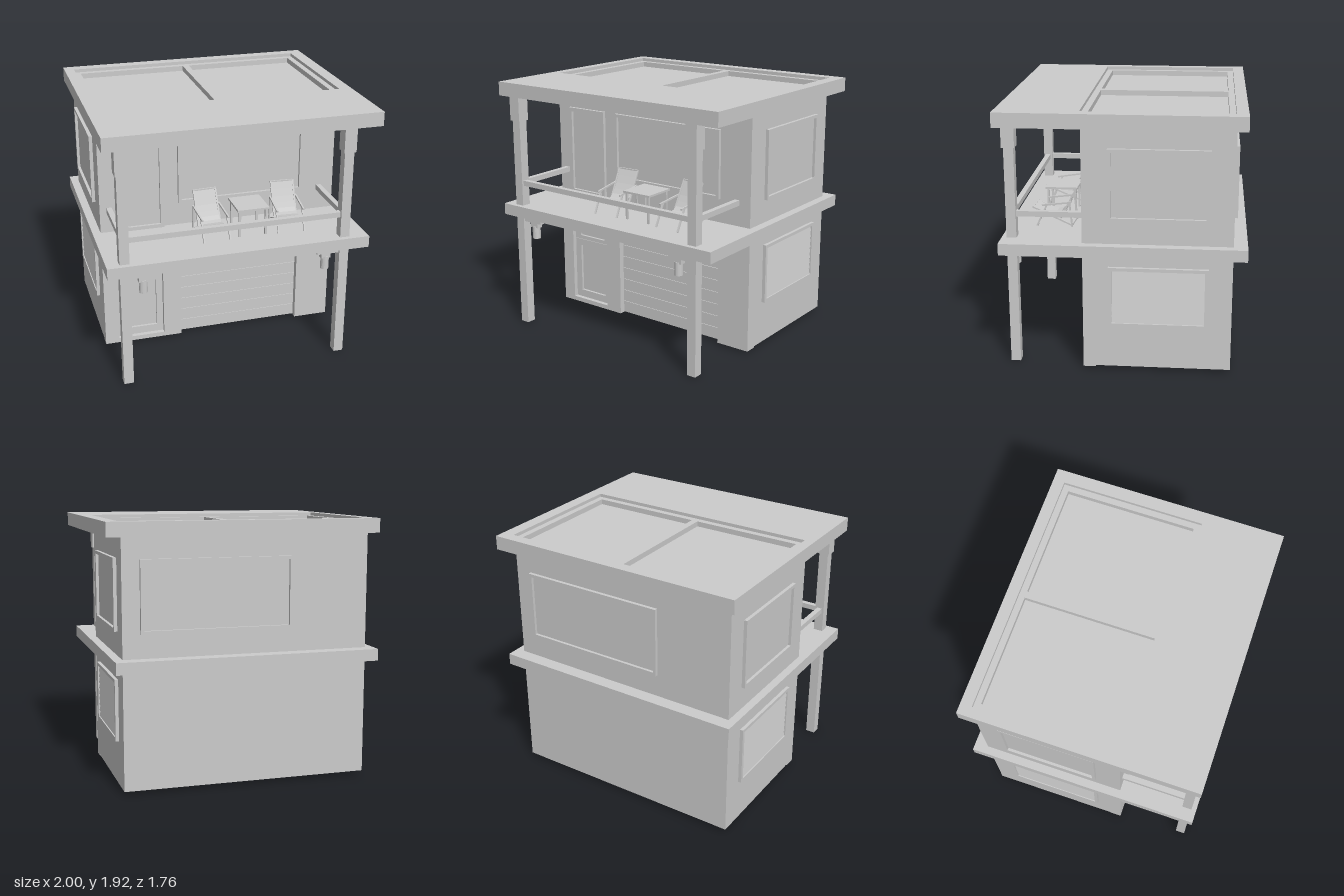
import * as THREE from 'three';

const mat = new THREE.MeshStandardMaterial({ color: 0xcccccc, flatShading: true });
const thin = new THREE.MeshStandardMaterial({ color: 0xcccccc, flatShading: true, side: THREE.DoubleSide });

function add(parent, name, geo, material = mat) {
  const m = new THREE.Mesh(geo, material);
  m.name = name;
  parent.add(m);
  return m;
}

// Box given by its minimum and maximum on each axis
function box(parent, name, x0, x1, y0, y1, z0, z1) {
  const m = add(parent, name, new THREE.BoxGeometry(x1 - x0, y1 - y0, z1 - z0));
  m.position.set((x0 + x1) / 2, (y0 + y1) / 2, (z0 + z1) / 2);
  return m;
}

// Square bar between two points
function bar(parent, name, a, b, w = 0.012) {
  const p = new THREE.Vector3(...a), q = new THREE.Vector3(...b);
  const m = add(parent, name, new THREE.BoxGeometry(w, w, p.distanceTo(q)));
  m.position.copy(p).add(q).multiplyScalar(0.5);
  m.lookAt(q);
  return m;
}

const rect = (C, x0, x1, y0, y1) => new C([[x0, y0], [x1, y0], [x1, y1], [x0, y1]]
  .map(([x, y]) => new THREE.Vector2(x, y)));

const extrude = (shape, depth) => new THREE.ExtrudeGeometry(shape, { depth, bevelEnabled: false });

// Rectangular border in the XY plane, extruded towards +z
function border(parent, name, x0, x1, y0, y1, w, depth) {
  const s = rect(THREE.Shape, x0, x1, y0, y1);
  s.holes.push(rect(THREE.Path, x0 + w, x1 - w, y0 + w, y1 - w));
  return add(parent, name, extrude(s, depth));
}

// Window whose back lies on local z = 0, with optional sloping louvres
function makeWindow(name, w, y0, y1, louvres = 0) {
  const g = new THREE.Group();
  g.name = name;
  border(g, 'windowFrame', -w / 2, w / 2, y0, y1, 0.024, 0.025);
  box(g, 'windowPane', -w / 2 + 0.02, w / 2 - 0.02, y0 + 0.02, y1 - 0.02, -0.004, 0.004);
  const step = (y1 - y0 - 0.05) / Math.max(louvres, 1);
  for (let i = 0; i < louvres; i++) {
    const slat = box(g, 'louvre', -w / 2 + 0.026, w / 2 - 0.026, 0, step * 0.98, 0.004, 0.01);
    slat.position.y = y0 + 0.025 + step * (i + 0.5);
    slat.position.z = 0.011;
    slat.rotation.x = -0.2;
  }
  return g;
}

function makeChair() {
  const g = new THREE.Group();
  g.name = 'deckChair';
  for (const s of [-1, 1]) {
    const x = 0.085 * s, xo = 0.1 * s;
    bar(g, 'backRail', [x, 0.3, -0.16], [x, 0.06, -0.035]);
    bar(g, 'seatRail', [x, 0.14, 0.175], [x, 0.01, -0.12]);
    bar(g, 'frontLeg', [xo, 0, 0.14], [xo, 0.17, 0.06]);
    bar(g, 'rearLeg', [xo, 0, -0.125], [xo, 0.19, -0.105]);
    bar(g, 'armRest', [xo, 0.19, -0.12], [xo, 0.16, 0.1]);
  }
  bar(g, 'topCrossbar', [-0.085, 0.295, -0.157], [0.085, 0.295, -0.157]);
  bar(g, 'frontCrossbar', [-0.085, 0.138, 0.17], [0.085, 0.138, 0.17]);
  bar(g, 'rearCrossbar', [-0.085, 0.01, -0.12], [0.085, 0.01, -0.12]);
  // Slung cloth: sagging profile swept across the width
  const curve = new THREE.CatmullRomCurve3([[0.145, 0.17], [0.1, 0.07], [0.095, -0.03], [0.17, -0.09], [0.3, -0.155]]
    .map(([y, z]) => new THREE.Vector3(0, y, z)));
  const cloth = new THREE.PlaneGeometry(0.16, 1, 1, 10);
  const pos = cloth.attributes.position;
  for (let i = 0; i < pos.count; i++) {
    const p = curve.getPoint(pos.getY(i) + 0.5);
    pos.setXYZ(i, pos.getX(i), p.y, p.z);
  }
  cloth.computeVertexNormals();
  add(g, 'seatCloth', cloth, thin);
  return g;
}

export function createModel() {
  const house = new THREE.Group();
  house.name = 'house';
  const L = -0.94, R = 0.885, B = -0.78;

  // Side and back walls: open shell without a floor
  const wall = (name, w, x, z, ry) => {
    const m = add(house, name, new THREE.PlaneGeometry(w, 1.8), thin);
    m.position.set(x, 0.925, z);
    m.rotation.y = ry;
  };
  wall('leftWall', 0.99, R, -0.285, Math.PI / 2);
  wall('rightWall', 0.99, L, -0.285, -Math.PI / 2);
  wall('backWall', R - L, (L + R) / 2, B, Math.PI);

  // Ground floor front with garage and door openings
  const front = new THREE.Shape([[L, 0.015], [-0.335, 0.015], [-0.335, 0.785], [0.615, 0.785], [0.615, 0.015],
    [R, 0.015], [R, 0.89], [L, 0.89]].map(([x, y]) => new THREE.Vector2(x, y)));
  front.holes.push(rect(THREE.Path, -0.835, -0.475, 0.05, 0.785));
  add(house, 'lowerFrontWall', extrude(front, 0.09)).position.z = 0.2;
  box(house, 'upperFrontWall', L, R, 0.96, 1.82, 0.2, 0.29);

  // Garage door panels
  for (let i = 0; i < 8; i++) {
    const y = 0.02 + i * 0.0956;
    box(house, 'garagePanel', -0.335, 0.615, y, y + 0.092, 0.21, 0.245);
  }
  box(house, 'garageBacking', -0.335, 0.615, 0.02, 0.785, 0.205, 0.238);

  // Entrance door with two sunk panels
  const door = rect(THREE.Shape, -0.835, -0.475, 0.05, 0.785);
  door.holes.push(rect(THREE.Path, -0.78, -0.525, 0.11, 0.505), rect(THREE.Path, -0.78, -0.525, 0.59, 0.76));
  add(house, 'entranceDoor', extrude(door, 0.03)).position.z = 0.225;
  box(house, 'doorPanels', -0.8, -0.5, 0.09, 0.775, 0.21, 0.235);
  box(house, 'doorRail', -0.835, -0.475, 0.55, 0.56, 0.24, 0.26);

  // Balcony door and windows
  border(house, 'balconyDoorFrame', -0.82, -0.46, 0.97, 1.665, 0.03, 0.027).position.z = 0.288;
  box(house, 'balconyDoorPane', -0.8, -0.48, 0.99, 1.645, 0.28, 0.294);
  const place = (win, x, z, ry) => {
    win.position.set(x, 0, z);
    win.rotation.y = ry;
    house.add(win);
  };
  place(makeWindow('frontWindow', 0.975, 1.15, 1.665), 0.138, 0.29, 0);
  place(makeWindow('backWindow', 1.115, 1.145, 1.665), 0.2, B, Math.PI);
  for (const [x, ry] of [[R, Math.PI / 2], [L, -Math.PI / 2]]) {
    place(makeWindow('sideWindow', 0.715, 1.145, 1.665), x, -0.253, ry);
    place(makeWindow('louvredWindow', 0.715, 0.35, 0.8, 9), x, -0.253, ry);
  }

  // Deck slab
  box(house, 'deck', -1, 0.95, 0.885, 0.972, -0.88, 0.88);

  // Roof slab with a stepped recess split by a divider
  const roof = rect(THREE.Shape, -1, 1, -0.88, 0.855);
  roof.holes.push(rect(THREE.Path, -0.925, 0.905, -0.29, 0.77));
  const slab = add(house, 'roof', extrude(roof, 0.105));
  slab.rotation.x = -Math.PI / 2;
  slab.position.y = 1.82;
  const ledge = border(house, 'roofLedge', -0.925, 0.905, -0.29, 0.77, 0.046, 0.08);
  ledge.rotation.x = -Math.PI / 2;
  ledge.position.y = 1.82;
  box(house, 'roofPanel', -0.9, 0.88, 1.82, 1.86, -0.75, 0.27);
  box(house, 'roofDivider', -0.045, 0.005, 1.85, 1.9, -0.725, 0.245);

  // Columns, side rails and hanging lamps
  for (const [x, s] of [[-0.87, 1], [0.77, -1]]) {
    box(house, 'column', x - 0.036, x + 0.036, 0, 1.82, 0.772, 0.844);
    box(house, 'columnCap', x - 0.046, x + 0.046, 1.635, 1.82, 0.763, 0.857);
    box(house, 'sideRail', x - 0.02, x + 0.02, 1.128, 1.168, 0.29, 0.78);
    const e = x + s * 0.036, f = x + s * 0.205, c = x + s * 0.135;
    box(house, 'lampBracket', Math.min(e, f), Math.max(e, f), 0.845, 0.886, 0.785, 0.832);
    box(house, 'lampStem', c - 0.036, c + 0.036, 0.81, 0.85, 0.785, 0.832);
    const lamp = add(house, 'lamp', new THREE.CylinderGeometry(0.031, 0.031, 0.1, 16));
    lamp.position.set(c, 0.772, 0.808);
  }
  box(house, 'frontRail', -0.84, 0.74, 1.128, 1.168, 0.788, 0.828);

  // Balcony furniture
  for (const [x, ry] of [[-0.157, 0.06], [0.43, -0.06]]) {
    const chair = makeChair();
    chair.position.set(x, 0.972, 0.525);
    chair.rotation.y = ry;
    house.add(chair);
  }
  box(house, 'tableTop', 0.01, 0.25, 1.175, 1.19, 0.4, 0.65);
  for (const x of [0.03, 0.23]) for (const z of [0.42, 0.63])
    box(house, 'tableLeg', x - 0.008, x + 0.008, 0.97, 1.176, z - 0.008, z + 0.008);

  return house;
}
